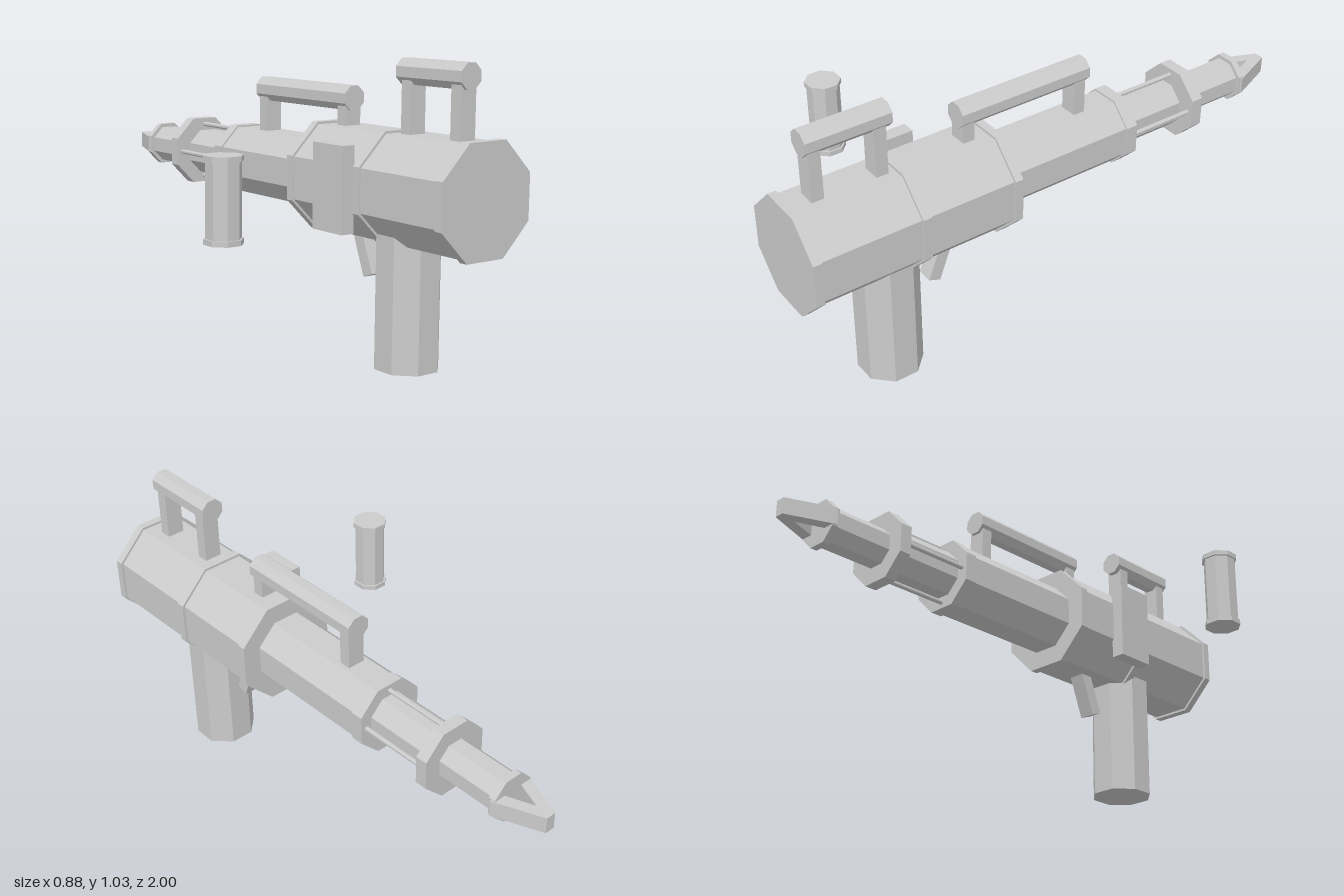
import * as THREE from 'three';

const material = new THREE.MeshStandardMaterial({ color: 0xcccccc, flatShading: true });
const AX = 0.2525, AY = 0.607; // axis of the barrel

function add(parent, name, geometry, x, y, z) {
  const mesh = new THREE.Mesh(geometry, material);
  mesh.name = name;
  mesh.position.set(x, y, z);
  parent.add(mesh);
  return mesh;
}

// Upright octagonal prism, flats facing the axes, sized by its half width
function octagon(halfWidth, length) {
  const r = halfWidth / Math.cos(Math.PI / 8);
  return new THREE.CylinderGeometry(r, r, length, 8, 1, false, Math.PI / 8);
}

// Octagonal prism lying along z from z0 to z1
function tube(parent, name, halfWidth, z0, z1, x = AX, y = AY) {
  const geometry = octagon(halfWidth, Math.abs(z1 - z0)).rotateX(Math.PI / 2);
  return add(parent, name, geometry, x, y, (z0 + z1) / 2);
}

// Bar held above the barrel by two posts
function rail(parent, name, y, z0, z1, postZs, postBase) {
  const group = new THREE.Group();
  group.name = name;
  parent.add(group);
  tube(group, name + 'Bar', 0.042, z0, z1, AX, y);
  const height = y - 0.02 - postBase;
  for (const z of postZs) {
    add(group, name + 'Post', new THREE.BoxGeometry(0.065, height, 0.043), AX, postBase + height / 2, z);
  }
}

export function createModel() {
  const model = new THREE.Group();
  model.name = 'launcher';

  // Body and barrel sections, from the rear to the muzzle
  const sections = [
    ['body', 0.179, 0.99, 0.245],
    ['bodyRing', 0.1875, 1.0, 0.97],
    ['bodyRing', 0.1875, 0.615, 0.585],
    ['bodyRing', 0.1875, 0.265, 0.235],
    ['barrel', 0.12, 0.25, -0.27],
    ['barrelRing', 0.126, -0.25, -0.295],
    ['innerBarrel', 0.082, -0.28, -0.53],
    ['barrelRing', 0.126, -0.55, -0.595],
    ['frontBarrel', 0.067, -0.58, -0.83],
    ['muzzleRing', 0.08, -0.82, -0.845],
  ];
  for (const [name, halfWidth, z0, z1] of sections) tube(model, name, halfWidth, z0, z1);

  // Thin rods joining the two barrel rings
  for (let i = 0; i < 4; i++) {
    const a = i * Math.PI / 2;
    tube(model, 'rod', 0.008, -0.28, -0.56, AX + 0.103 * Math.cos(a), AY + 0.103 * Math.sin(a));
  }

  // Pointed two-legged prong; the shape's y runs towards -z
  const prong = new THREE.Shape([
    [-0.087, 0.832], [-0.018, 1], [0.018, 1], [0.087, 0.832],
    [0.046, 0.82], [0, 0.94], [-0.046, 0.82],
  ].map(([x, y]) => new THREE.Vector2(x, y)));
  const prongGeometry = new THREE.ExtrudeGeometry(prong, { depth: 0.06, bevelEnabled: false });
  prongGeometry.rotateX(-Math.PI / 2);
  add(model, 'prong', prongGeometry, AX, AY - 0.03, 0);

  // Rails on top
  rail(model, 'rearRail', 0.988, 0.92, 0.62, [0.888, 0.661], 0.77);
  rail(model, 'frontRail', 0.88, 0.366, -0.145, [0.338, -0.112], 0.715);

  // Grip, trigger and side plate
  add(model, 'grip', octagon(0.1045, 0.47), AX, 0.235, 0.653);
  const trigger = add(model, 'trigger', new THREE.BoxGeometry(0.06, 0.18, 0.046), AX, 0.37, 0.451);
  trigger.rotation.x = -0.365;
  add(model, 'sidePlate', new THREE.BoxGeometry(0.05, 0.292, 0.152), 0.055, 0.606, 0.498);

  // Separate canister with a cap at each end
  const canister = new THREE.Group();
  canister.name = 'canister';
  canister.position.set(-0.383, 0.607, 0.498);
  model.add(canister);
  add(canister, 'canisterBody', octagon(0.054, 0.26), 0, 0, 0);
  for (const side of [-1, 1]) {
    add(canister, 'canisterCap', octagon(0.06, 0.018), 0, side * 0.131, 0);
  }
  return model;
}
